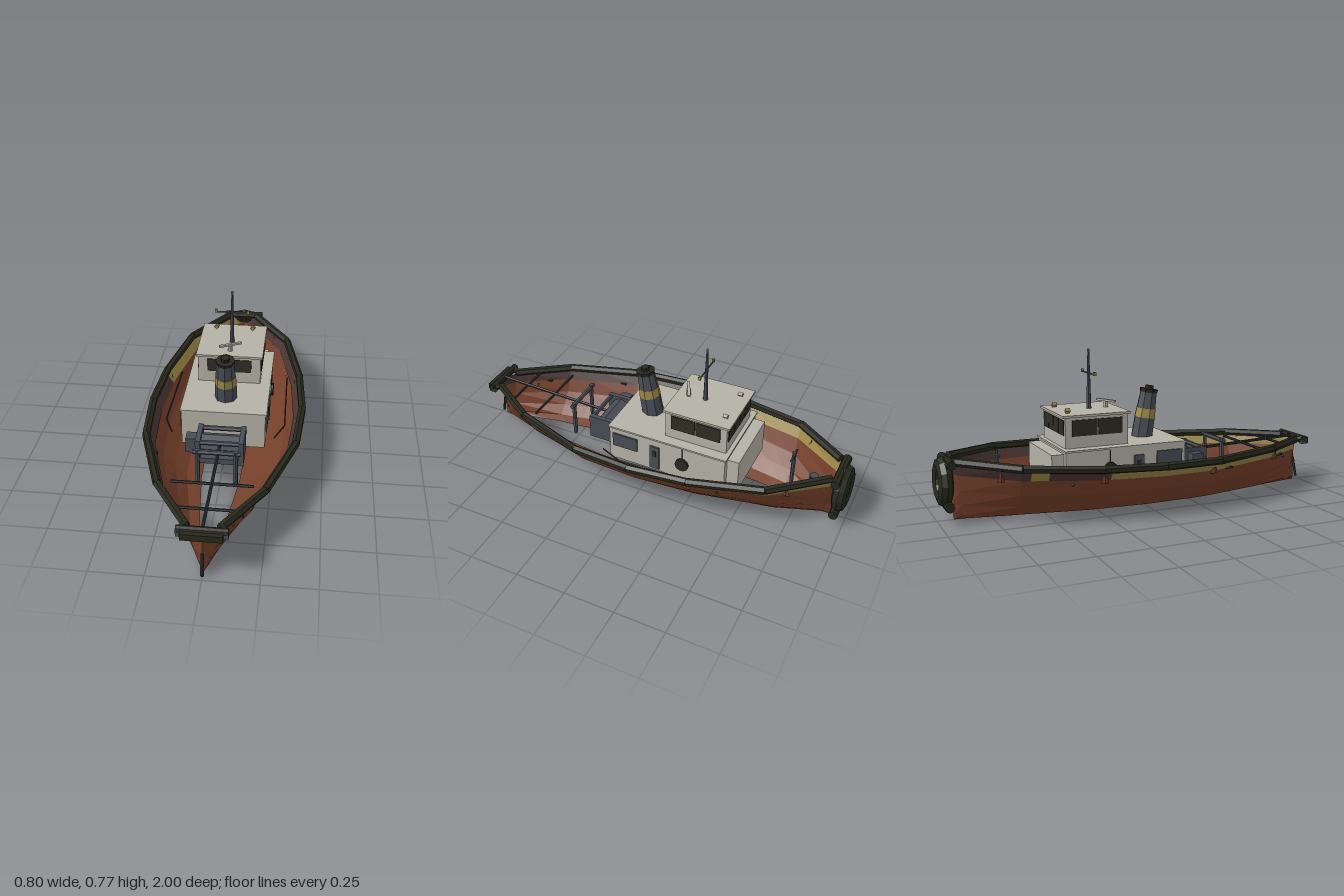
import * as THREE from 'three';

const mat = (name, color, side = THREE.FrontSide) =>
  Object.assign(new THREE.MeshStandardMaterial({ color, side }), { name });
const rust = mat('rust red', 0x75402a, THREE.DoubleSide);
const ochre = mat('ochre', 0x9a8746);
const plum = mat('faded plum', 0x483433);
const rubber = mat('black rubber', 0x27281d);
const grey = mat('house grey', 0xb4b1a6);
const slate = mat('slate metal', 0x484e57);
const dark = mat('dark iron', 0x2c2e31);
const glass = mat('window glass', 0x2d2d22);

const V = (x, y, z) => new THREE.Vector3(x, y, z);

// Hull stations: z, half beam, rail height, keel half gap
const STATIONS = [
  [-0.96, 0.0, 0.29, 0], [-0.92, 0.075, 0.285, 0.002], [-0.66, 0.27, 0.268, 0.045],
  [-0.3, 0.355, 0.25, 0.085], [0, 0.38, 0.242, 0.1], [0.3, 0.36, 0.238, 0.095],
  [0.67, 0.24, 0.24, 0.055], [0.93, 0.07, 0.235, 0.004], [0.97, 0.0, 0.235, 0],
];
// Section: beam fraction, height fraction
const SECTION = [[0, 0], [0.28, 0.06], [0.5, 0.25], [0.72, 0.5], [0.87, 0.79], [1, 1]];

function station(z) {
  let i = 0;
  while (i < STATIONS.length - 2 && z > STATIONS[i + 1][0]) i++;
  const a = STATIONS[i], b = STATIONS[i + 1], t = (z - a[0]) / (b[0] - a[0]);
  return a.map((v, k) => v + (b[k] - v) * t);
}

function hullPoint(z, j, side, inset = 0) {
  const [, w, h, k] = station(z);
  const [a, b] = SECTION[j];
  const full = Math.pow(a, 1 + 0.5 * Math.pow(Math.abs(z), 3));
  const rake = z < -0.9 ? 0.04 * (1 - b) : 0;
  return V(side * Math.max(0, k + (w - k) * full - inset), b * h, z + rake);
}

export function createModel() {
  const root = new THREE.Group();
  root.name = 'tugboat';

  function add(name, geo, material, pos) {
    const g = geo.index ? geo.toNonIndexed() : geo;
    g.computeVertexNormals();
    const m = new THREE.Mesh(g, material);
    m.name = name;
    if (pos) m.position.set(...pos);
    root.add(m);
    return m;
  }
  // Box given by its limits
  const box = (name, m, x0, x1, y0, y1, z0, z1) =>
    add(name, new THREE.BoxGeometry(x1 - x0, y1 - y0, z1 - z0), m,
      [(x0 + x1) / 2, (y0 + y1) / 2, (z0 + z1) / 2]);
  // Rod between two points
  function rod(name, m, a, b, r0, r1 = r0, sides = 6) {
    const d = b.clone().sub(a);
    const o = add(name, new THREE.CylinderGeometry(r1, r0, d.length(), sides), m);
    o.position.copy(a).addScaledVector(d, 0.5);
    o.quaternion.setFromUnitVectors(V(0, 1, 0), d.normalize());
    return o;
  }

  // Hull shell, with the upper strake painted differently outside and inside
  const zs = [-0.96, -0.92, -0.66, -0.62, -0.54, -0.3, -0.26, 0, 0.26, 0.3, 0.54, 0.62, 0.67, 0.93, 0.97];
  const skins = new Map([[rust, []], [ochre, []], [plum, []]]);
  function panel(m, i, j, side, outer) {
    const inset = outer ? 0 : 0.004;
    const a = hullPoint(zs[i], j, side, inset), b = hullPoint(zs[i + 1], j, side, inset);
    const c = hullPoint(zs[i + 1], j + 1, side, inset), d = hullPoint(zs[i], j + 1, side, inset);
    const quad = (side > 0) === outer ? [a, c, b, a, d, c] : [a, b, c, a, c, d];
    quad.forEach(p => skins.get(m).push(p.x, p.y, p.z));
  }
  for (const side of [1, -1]) for (let i = 0; i < zs.length - 1; i++) {
    const u = side * (zs[i] + zs[i + 1]) / 2;
    for (let j = 0; j < 4; j++) panel(rust, i, j, side, true);
    panel(u < 0.26 || (u > 0.54 && u < 0.62) ? ochre : plum, i, 4, side, true);
    panel(u > 0.26 ? ochre : plum, i, 4, side, false);
  }
  for (const [m, pts] of skins) {
    const g = new THREE.BufferGeometry();
    g.setAttribute('position', new THREE.Float32BufferAttribute(pts, 3));
    add(m === rust ? 'hull' : 'hullStrake', g, m);
  }

  for (const s of [1, -1]) {
    // Rubbing rail
    for (let i = 1; i < STATIONS.length - 2; i++) {
      const p = ([z, w, h]) => V(s * (w + 0.003), h + 0.006, z);
      rod('rubbingRail', rubber, p(STATIONS[i]), p(STATIONS[i + 1]), 0.02);
    }
    // Strake gussets, freeing ports and hull bolts
    for (const z of [0.72, 0.28, -0.29, -0.74]) {
      const p = hullPoint(z, 4, s);
      rod('gusset', rust, V(p.x + s * 0.004, p.y - 0.012, z), V(p.x + s * 0.014, p.y + 0.038, z), 0.02, 0.002, 4)
        .scale.x = 0.4;
    }
    for (const z of [0.38, 0.77]) {
      const p = hullPoint(z, 4, s);
      box('freeingPort', dark, p.x - 0.006, p.x + 0.006, p.y - 0.005, p.y + 0.005, z - 0.02, z + 0.02);
    }
    for (const z of [0.82, -0.43]) {
      const p = hullPoint(z, 4, s);
      add('hullBolt', new THREE.IcosahedronGeometry(0.008), slate, [p.x - s * 0.006, p.y - 0.022, z]);
    }
    // Side pipe inside the bulwark
    rod('sidePipe', dark, V(s * 0.29, 0.2, -0.37), V(s * 0.3, 0.2, 0.09), 0.004);
    rod('sidePipe', dark, V(s * 0.3, 0.2, 0.09), V(s * 0.255, 0.2, 0.2), 0.004);
    // Deckhouse side windows, door and hanging fender
    const x = s * 0.212;
    box('houseWindow', slate, x - 0.004, x + 0.004, 0.21, 0.285, 0.03, 0.165);
    box('houseDoor', slate, x - 0.004, x + 0.004, 0.14, 0.275, -0.09, -0.04);
    box('doorWindow', glass, x - 0.006, x + 0.006, 0.215, 0.25, -0.075, -0.055);
    rod('hangingFender', rubber, V(s * 0.212, 0.22, -0.215), V(s * 0.225, 0.22, -0.215), 0.035, 0.035, 10);
    rod('fenderRope', dark, V(s * 0.214, 0.24, -0.215), V(s * 0.214, 0.31, -0.215), 0.003);
    // Wheelhouse side panes
    for (const [z0, z1] of [[-0.255, -0.132], [-0.387, -0.261]])
      box('sidePane', glass, s * 0.162 - 0.004, s * 0.162 + 0.004, 0.38, 0.457, z0, z1);
    // Roof lamps
    const lamp = add('roofLamp', new THREE.BoxGeometry(0.017, 0.017, 0.022), ochre, [s * 0.097, 0.493, -0.385]);
    lamp.rotation.z = Math.PI / 4;
  }

  // Deckhouse
  box('deckhouse', grey, -0.208, 0.208, 0.125, 0.315, -0.435, 0.185);
  box('deckhouseRoof', grey, -0.214, 0.214, 0.314, 0.323, -0.441, 0.19);
  box('forwardLocker', grey, -0.178, 0.178, 0.125, 0.303, -0.495, -0.43);

  // Wheelhouse
  box('wheelhouse', grey, -0.16, 0.16, 0.32, 0.473, -0.42, -0.1);
  box('wheelhouseRoof', grey, -0.17, 0.17, 0.47, 0.481, -0.435, -0.09);
  for (let i = 0; i < 4; i++) {
    const x = -0.108 + i * 0.072;
    box('forwardPane', glass, x - 0.034, x + 0.034, 0.383, 0.456, -0.424, -0.416);
  }
  box('rearPane', glass, -0.113, 0.113, 0.385, 0.455, -0.104, -0.096);

  // Raked funnel, in bands
  const rake = y => V(0, y, 0.045 + (y - 0.32) * 0.17);
  [['funnelBase', slate, 0.315, 0.415, 0.056, 0.054], ['funnelBand', ochre, 0.415, 0.461, 0.055, 0.051],
    ['funnelTop', slate, 0.46, 0.545, 0.05, 0.043], ['funnelCap', rubber, 0.54, 0.558, 0.045, 0.048],
    ['funnelPipe', rubber, 0.55, 0.575, 0.022, 0.022]]
    .forEach(([n, m, y0, y1, r0, r1]) => rod(n, m, rake(y0), rake(y1), r0, r1, 8));

  // Mast with crossbar and lamps
  rod('mast', slate, V(0, 0.475, -0.24), V(0, 0.76, -0.24), 0.013, 0.005);
  rod('mastLamp', ochre, V(0, 0.758, -0.24), V(0, 0.772, -0.24), 0.006);
  rod('crossbar', slate, V(-0.085, 0.654, -0.24), V(0.085, 0.654, -0.24), 0.004);
  for (const s of [1, -1])
    box('crossbarLamp', ochre, s * 0.083 - 0.006, s * 0.083 + 0.006, 0.65, 0.667, -0.246, -0.234);

  // Radar scanner
  rod('radarPost', grey, V(0, 0.475, -0.15), V(0, 0.512, -0.15), 0.012);
  const scanner = add('radarScanner', new THREE.BoxGeometry(0.12, 0.01, 0.014), grey, [0, 0.515, -0.15]);
  scanner.rotation.y = 0.45;

  // Towing winch
  rod('winchDrum', slate, V(-0.1, 0.2, 0.28), V(0.1, 0.2, 0.28), 0.052, 0.052, 8);
  box('winchMotor', slate, -0.17, -0.115, 0.16, 0.24, 0.25, 0.31);
  box('winchBed', slate, -0.1, 0.1, 0.13, 0.16, 0.21, 0.35);
  for (const s of [1, -1]) {
    box('winchCheek', slate, s * 0.105 - 0.012, s * 0.105 + 0.012, 0.13, 0.26, 0.205, 0.355);
    rod('bittPost', slate, V(s * 0.09, 0.1, 0.46), V(s * 0.09, 0.29, 0.46), 0.012);
  }
  for (const z of [0.217, 0.343]) rod('winchBeam', slate, V(-0.11, 0.248, z), V(0.11, 0.248, z), 0.012);
  rod('bittBar', slate, V(-0.112, 0.278, 0.46), V(0.112, 0.278, 0.46), 0.012);

  // Tow rope and guard bars
  rod('towLine', dark, V(0, 0.225, 0.3), V(0, 0.25, 0.95), 0.008);
  for (const [z, w] of [[0.635, 0.19], [0.81, 0.13]])
    rod('towGuard', dark, V(-w, 0.235, z), V(w, 0.235, z), 0.007);

  // Stern fender and rudder
  rod('sternRoller', rubber, V(-0.112, 0.245, 0.962), V(0.112, 0.245, 0.962), 0.019, 0.019, 8);
  box('sternFender', rubber, -0.092, 0.092, 0.218, 0.25, 0.965, 1.0);
  for (const s of [1, -1]) {
    box('sternBracket', slate, s * 0.1 - 0.012, s * 0.1 + 0.012, 0.22, 0.246, 0.945, 0.98);
    rod('sternRail', rubber, V(s * 0.073, 0.243, 0.92), V(s * 0.1, 0.247, 0.965), 0.017);
  }
  rod('rudder', dark, V(0, 0.015, 0.99), V(0, 0.122, 0.968), 0.008, 0.008, 4);

  // Bow tyre, roller and cap
  const tyre = add('bowTyre', new THREE.TorusGeometry(0.08, 0.04, 8, 12), rubber, [0, 0.187, -0.965]);
  tyre.scale.z = 0.87;
  rod('bowRoller', rubber, V(-0.1, 0.083, -0.955), V(0.1, 0.083, -0.955), 0.023, 0.023, 8);
  rod('bowCap', rubber, V(-0.11, 0.282, -0.945), V(0.11, 0.282, -0.945), 0.022, 0.022, 8);

  // Foredeck bitts
  rod('bowCapstan', slate, V(0, 0.15, -0.82), V(0, 0.21, -0.82), 0.024, 0.024, 6);
  rod('bowBitt', slate, V(0, 0.13, -0.71), V(0, 0.315, -0.71), 0.01);
  rod('bowBittBar', slate, V(-0.048, 0.295, -0.71), V(0.048, 0.295, -0.71), 0.006);

  return root;
}
